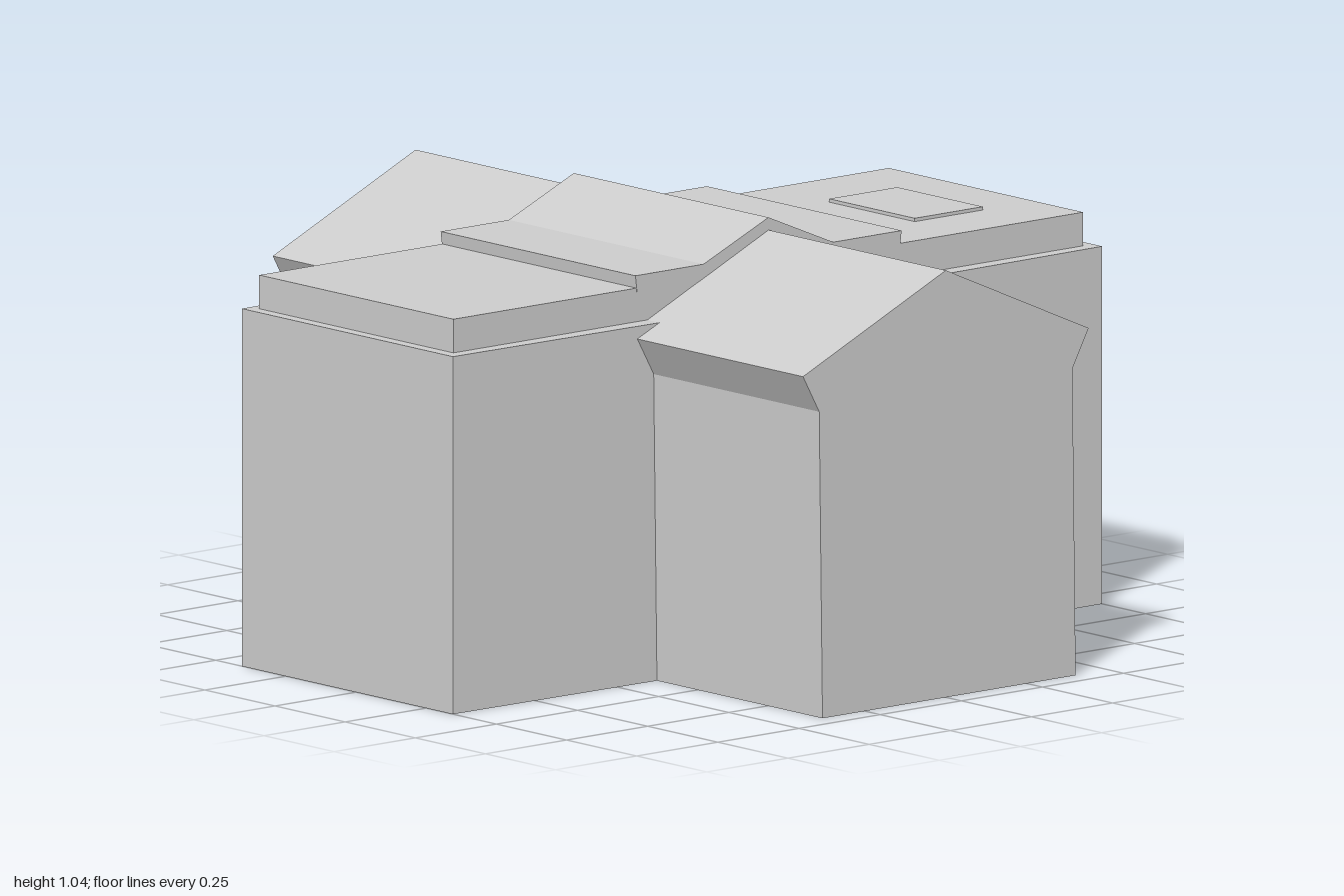
import * as THREE from 'three';

const material = new THREE.MeshStandardMaterial({ color: 0xcccccc, flatShading: true, side: THREE.DoubleSide });

// Wing outline, from the foot of the +x wall over the ridge to the other foot
const WING = [[0.4, 0], [0.39, 0.73], [0.44, 0.82], [0, 1.015], [-0.44, 0.82], [-0.39, 0.73], [-0.38, 0]];

function shapeOf(points) {
  return new THREE.Shape(points.map(([x, y]) => new THREE.Vector2(x, y)));
}

function add(parent, name, geometry) {
  const mesh = new THREE.Mesh(geometry, material);
  mesh.name = name;
  parent.add(mesh);
  return mesh;
}

function addBox(parent, name, [x0, x1], [y0, y1], [z0, z1]) {
  const mesh = add(parent, name, new THREE.BoxGeometry(x1 - x0, y1 - y0, z1 - z0));
  mesh.position.set((x0 + x1) / 2, (y0 + y1) / 2, (z0 + z1) / 2);
}

// Thin sheet following an open profile from z0 to z1
function sheet(profile, z0, z1) {
  const pos = [];
  for (let i = 0; i < profile.length - 1; i++) {
    const [a, b] = [profile[i], profile[i + 1]];
    pos.push(...a, z1, ...a, z0, ...b, z0, ...a, z1, ...b, z0, ...b, z1);
  }
  const geometry = new THREE.BufferGeometry();
  geometry.setAttribute('position', new THREE.Float32BufferAttribute(pos, 3));
  geometry.computeVertexNormals();
  return geometry;
}

// Gabled wing, open underneath and towards the hall
function makeWing(name, inner, outer) {
  const wing = new THREE.Group();
  wing.name = name;
  add(wing, name + 'WallsAndRoof', sheet(WING, inner, outer));
  add(wing, name + 'Gable', new THREE.ShapeGeometry(shapeOf(WING))).position.z = outer;
  return wing;
}

export function createModel() {
  const model = new THREE.Group();
  model.name = 'building';

  // Hall walls: slightly bowed outside, rectangular hollow inside (plan is drawn as x, -z)
  const plan = shapeOf([
    [-1, -0.345], [-0.4, -0.355], [0.4, -0.355], [1, -0.345],
    [1, 0.407], [0.4, 0.422], [-0.4, 0.422], [-1, 0.407],
  ]);
  plan.holes.push(new THREE.Path([[-0.97, -0.312], [-0.97, 0.38], [0.97, 0.38], [0.97, -0.312]]
    .map(([x, y]) => new THREE.Vector2(x, y))));
  const walls = new THREE.ExtrudeGeometry(plan, { depth: 0.85, bevelEnabled: false });
  walls.rotateX(-Math.PI / 2);
  add(model, 'hallWalls', walls);

  // Flat roof set back from the wall tops
  addBox(model, 'hallRoof', [-0.97, 0.97], [0.85, 0.93], [-0.38, 0.312]);
  addBox(model, 'roofHatch', [0.6, 0.81], [0.93, 0.938], [-0.165, 0.14]);

  // Raised middle roof with a low ridge
  const ridge = shapeOf([[-0.405, 0.92], [0.405, 0.92], [0.41, 0.96], [0.2, 0.96],
    [0, 1.045], [-0.2, 0.96], [-0.41, 0.96]]);
  const ridgeRoof = new THREE.ExtrudeGeometry(ridge, { depth: 0.694, bevelEnabled: false });
  add(model, 'middleRoof', ridgeRoof).position.z = -0.381;

  // Front and back wings
  model.add(makeWing('frontWing', 0.31, 0.945));
  const back = makeWing('backWing', 0.378, 0.945);
  back.rotation.y = Math.PI;
  model.add(back);

  return model;
}
